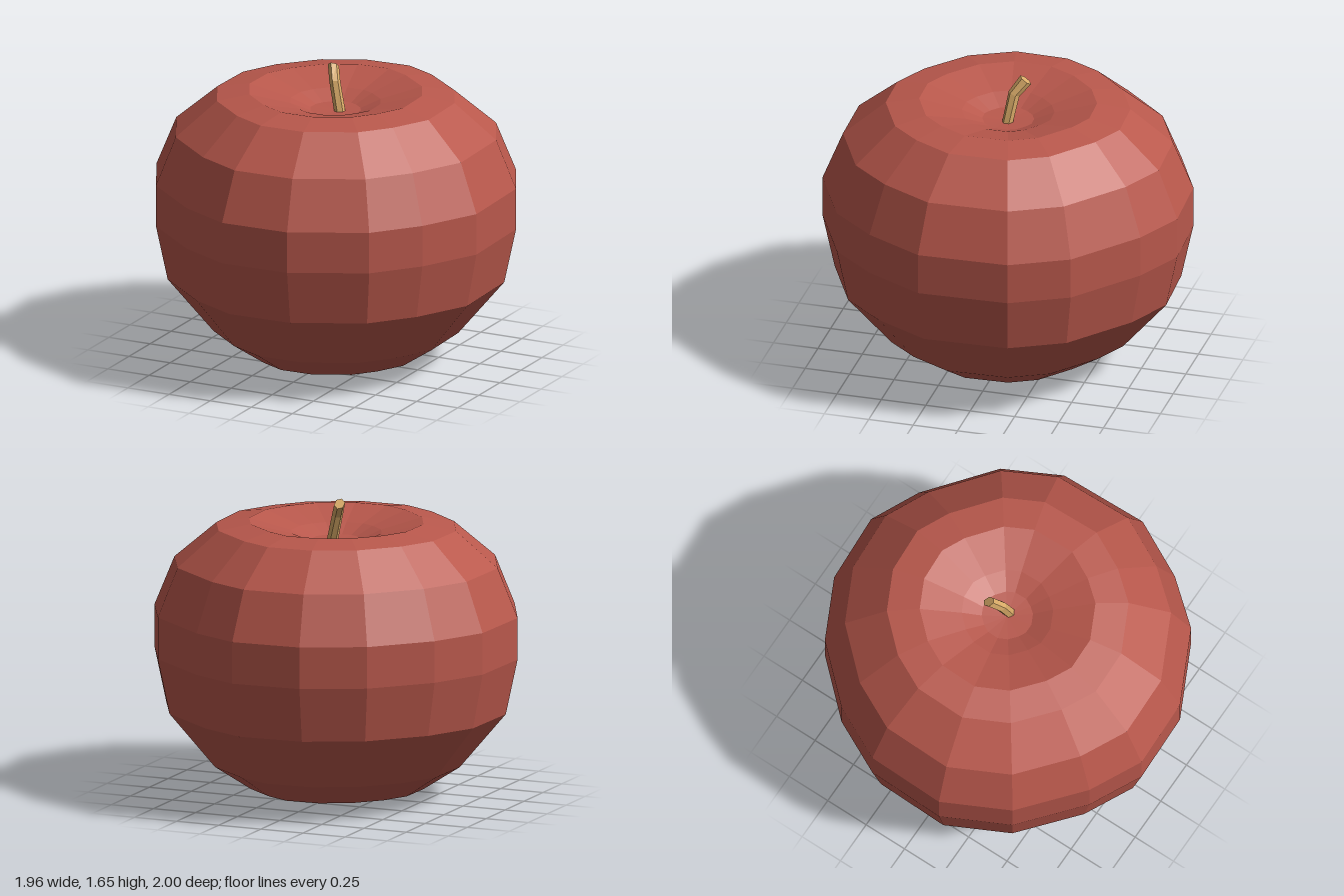
import * as THREE from 'three';

// Slightly irregular outline of the fruit (x, z), front spoke first, turning towards +x
const OUTLINE = [
  [0.21, 0.985], [0.61, 0.79], [0.81, 0.55], [0.975, 0.23],
  [0.96, -0.27], [0.80, -0.58], [0.44, -0.87], [0.17, -1.0],
  [-0.22, -0.98], [-0.55, -0.82], [-0.82, -0.53], [-0.97, -0.23],
  [-0.98, 0.21], [-0.80, 0.57], [-0.47, 0.85], [-0.18, 0.995],
];

// Outline scale and height, from the bottom dimple over the flank into the stem cavity
const PROFILE = [
  [0, 0.09], [0.15, 0.07], [0.33, 0.02], [0.48, 0.05], [0.68, 0.18], [0.935, 0.485],
  [1, 0.79], [1, 1.02], [0.89, 1.29], [0.66, 1.485], [0.48, 1.515],
  [0.25, 1.455], [0.14, 1.41], [0, 1.4],
];

function lowPoly(color) {
  return new THREE.MeshStandardMaterial({ color, flatShading: true });
}

// Fruit body: a lathe whose spokes are moved onto the irregular outline
function makeBody() {
  const points = PROFILE.map(([r, y]) => new THREE.Vector2(r, y));
  const geo = new THREE.LatheGeometry(points, OUTLINE.length);
  const pos = geo.attributes.position;
  for (let i = 0; i < pos.count; i++) {
    const [x, z] = OUTLINE[Math.floor(i / PROFILE.length) % OUTLINE.length];
    const [s, y] = PROFILE[i % PROFILE.length];
    pos.setXYZ(i, x * s, y, z * s);
  }
  const mesh = new THREE.Mesh(geo, lowPoly(0xb9584c));
  mesh.name = 'fruitBody';
  return mesh;
}

// Stem: a six-sided cylinder bent through a few centres, with its tip cut at a slant
function makeStem() {
  const centres = [
    [0.03, 1.38, 0], [-0.018, 1.555, -0.028], [-0.055, 1.628, -0.083],
  ];
  const slants = [0, 0.4, 0.75];
  const geo = new THREE.CylinderGeometry(0.03, 0.03, 2, 6, 2);
  const pos = geo.attributes.position;
  for (let i = 0; i < pos.count; i++) {
    const level = Math.round(pos.getY(i) + 1);
    const [x, y, z] = centres[level];
    const dx = pos.getX(i), dz = pos.getZ(i);
    pos.setXYZ(i, x + dx, y + dz * slants[level] + dx * 0.2, z + dz);
  }
  const mesh = new THREE.Mesh(geo, lowPoly(0xd9ab68));
  mesh.name = 'stem';
  return mesh;
}

// Short stub poking out of the dimple underneath
function makeStub() {
  const mesh = new THREE.Mesh(new THREE.CylinderGeometry(0.032, 0.032, 0.14, 6), lowPoly(0xd9ab68));
  mesh.position.set(0.017, 0.07, -0.01);
  mesh.name = 'bottomStub';
  return mesh;
}

export function createModel() {
  const group = new THREE.Group();
  group.name = 'apple';
  group.add(makeBody(), makeStem(), makeStub());
  return group;
}
